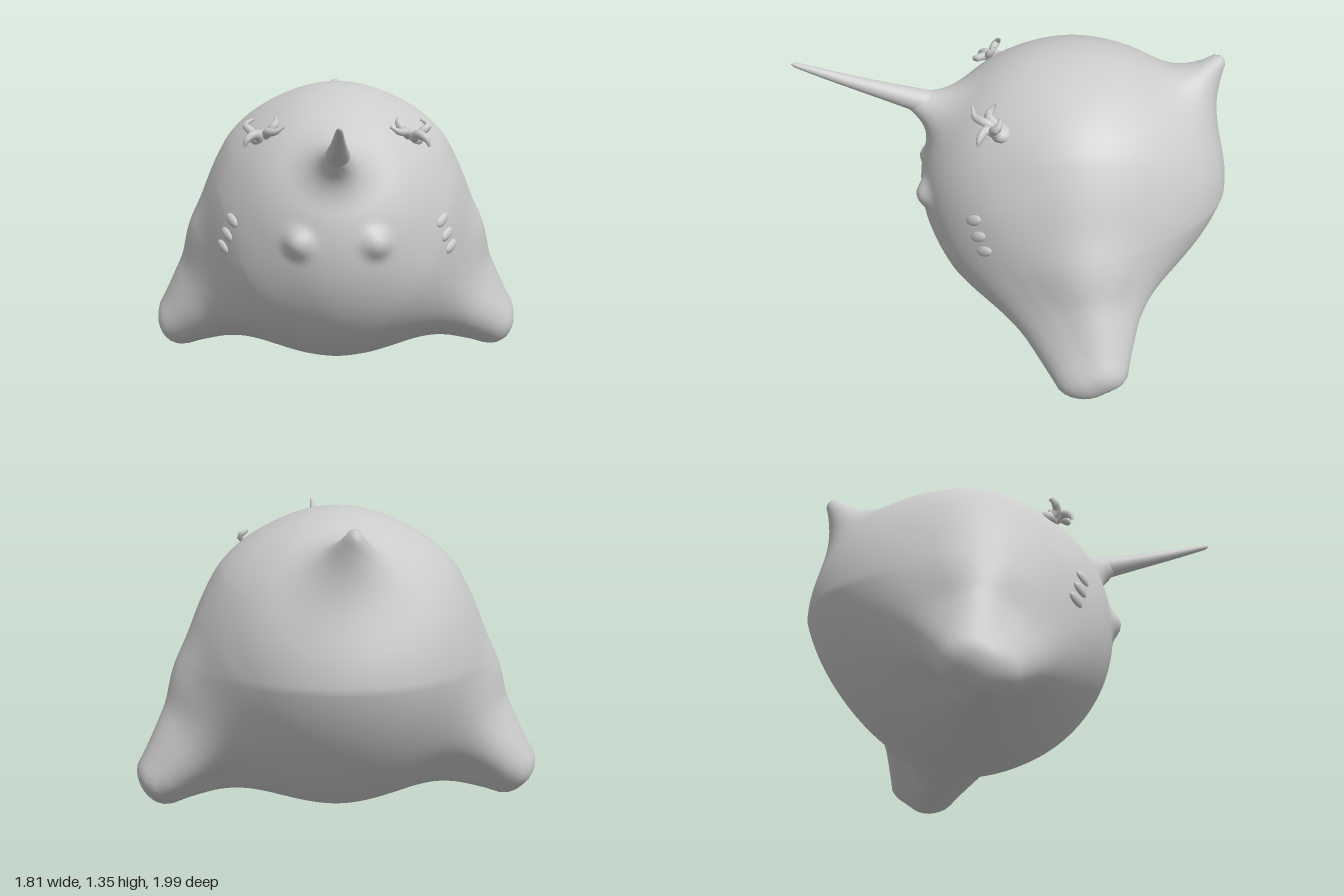
import * as THREE from 'three';
import { mergeVertices } from 'three/addons/utils/BufferGeometryUtils.js';

const V = (x, y, z) => new THREE.Vector3(x, y, z);
const CENTRE = V(0, 0.68, -0.26);
const RADII = V(0.62, 0.677, 0.705);

// Tapered limbs: [start, start radius, end, end radius]
const FIN = [
  [V(0.28, 0.88, -0.28), 0.26, V(0.54, 0.56, -0.3), 0.19], // shoulder
  [V(0.54, 0.56, -0.3), 0.19, V(0.81, 0.21, -0.36), 0.085], // outer edge
  [V(0.34, 0.58, -0.42), 0.22, V(0.79, 0.17, -0.4), 0.085], // rear edge
  [V(0.27, 0.5, -0.02), 0.23, V(0.79, 0.14, -0.24), 0.085], // front edge
  [V(0.3, 0.65, -0.14), 0.26, V(0.8, 0.17, -0.29), 0.09], // web between the edges
  [V(0.3, 0.38, -0.23), 0.25, V(0.77, 0.115, -0.31), 0.085], // lower edge
];
// Smaller swellings: [limb, blend width]
const SWELLINGS = [
  [[V(0, 0.99, -0.68), 0.24, V(0, 1.275, -0.9), 0.042], 0.12], // tail nub
  [[V(0, 0.99, 0.2), 0.12, V(0, 1.1, 0.46), 0.048], 0.14], // horn root
  [[V(0.17, 0.705, 0.36), 0.05, V(0.17, 0.705, 0.41), 0.046], 0.06], // eye bump
];

function limbDistance(p, [a, ra, b, rb]) {
  const ab = b.clone().sub(a);
  const t = THREE.MathUtils.clamp(p.clone().sub(a).dot(ab) / ab.lengthSq(), 0, 1);
  return p.distanceTo(ab.multiplyScalar(t).add(a)) - (ra + (rb - ra) * t);
}

function smoothMin(a, b, k) {
  const h = Math.max(k - Math.abs(a - b), 0) / k;
  return Math.min(a, b) - h * h * k * 0.25;
}

// Signed distance to the body, mirrored across x = 0
function bodyDistance(point) {
  const p = V(Math.abs(point.x), point.y, point.z);
  const fin = FIN.map(limb => limbDistance(p, limb)).reduce((a, b) => smoothMin(a, b, 0.07));
  // Ellipsoid whose back half slopes in towards the belly
  const q = p.clone().sub(CENTRE);
  if (q.z < 0) q.z /= 1.03 - 0.4 * Math.min(Math.max(-q.y, 0), 0.7);
  let d = (q.divide(RADII).length() - 1) * 0.65;
  d = smoothMin(d, fin, 0.2);
  for (const [limb, blend] of SWELLINGS) d = smoothMin(d, limbDistance(p, limb), blend);
  return d;
}

// Point on the body's skin in a given direction from its centre
function skinPoint(dir) {
  let lo = 0.4, hi = 1.4;
  for (let i = 0; i < 16; i++) {
    const mid = (lo + hi) / 2;
    if (bodyDistance(dir.clone().multiplyScalar(mid).add(CENTRE)) < 0) lo = mid;
    else hi = mid;
  }
  return dir.clone().multiplyScalar(lo).add(CENTRE);
}

function smooth(geometry) {
  geometry.deleteAttribute('uv');
  geometry.deleteAttribute('normal');
  const merged = mergeVertices(geometry, 1e-5);
  merged.computeVertexNormals();
  return merged;
}

function bodyGeometry() {
  const g = new THREE.SphereGeometry(1, 192, 128);
  const pos = g.attributes.position;
  for (let i = 0; i < pos.count; i++) {
    const p = skinPoint(new THREE.Vector3().fromBufferAttribute(pos, i).normalize());
    pos.setXYZ(i, p.x, p.y, p.z);
  }
  return smooth(g);
}

// Round tube along points, with its own radius at each one
function taperedTube(points, radii, steps, sides) {
  const curve = new THREE.CatmullRomCurve3(points);
  const g = new THREE.TubeGeometry(curve, steps, 1, sides, false);
  const pos = g.attributes.position;
  const last = radii.length - 1;
  for (let i = 0; i <= steps; i++) {
    const c = curve.getPointAt(i / steps);
    const u = curve.getUtoTmapping(i / steps) * last;
    const k = Math.min(Math.floor(u), last - 1);
    const r = THREE.MathUtils.lerp(radii[k], radii[k + 1], u - k);
    for (let j = 0; j <= sides; j++) {
      const n = i * (sides + 1) + j;
      const p = new THREE.Vector3().fromBufferAttribute(pos, n).sub(c).multiplyScalar(r).add(c);
      pos.setXYZ(n, p.x, p.y, p.z);
    }
  }
  return smooth(g);
}

export function createModel() {
  const model = new THREE.Group();
  const material = new THREE.MeshStandardMaterial({ color: 0xcccccc, side: THREE.DoubleSide });
  const add = (name, geometry, parent = model) => {
    const mesh = new THREE.Mesh(geometry, material);
    mesh.name = name;
    parent.add(mesh);
    return mesh;
  };

  // Round body with fins, tail nub, eye bumps and horn root
  add('body', bodyGeometry());

  // Long forehead horn: [z, y, radius]
  const horn = [
    [0.28, 1.04, 0.06], [0.4, 1.087, 0.058], [0.53, 1.13, 0.046],
    [0.7, 1.185, 0.032], [0.86, 1.24, 0.021], [0.985, 1.285, 0.011], [1.0, 1.29, 0.001],
  ];
  add('horn', taperedTube(horn.map(([z, y]) => V(0, y, z)), horn.map(h => h[2]), 48, 20));

  // Curled branches of each crest
  const branches = [
    [V(0.3, 1.1, 0.06), V(0.32, 1.16, 0.13), V(0.28, 1.17, 0.18), V(0.24, 1.195, 0.19)],
    [V(0.34, 1.1, 0.07), V(0.37, 1.155, 0.13), V(0.41, 1.13, 0.16), V(0.42, 1.1, 0.165)],
    [V(0.36, 1.1, 0.05), V(0.39, 1.16, 0.1), V(0.42, 1.19, 0.08), V(0.385, 1.215, 0.07)],
    [V(0.31, 1.12, 0.07), V(0.295, 1.18, 0.12), V(0.28, 1.2, 0.11), V(0.28, 1.225, 0.09)],
  ];

  for (const [side, s] of [['left', 1], ['right', -1]]) {
    const mirror = p => V(p.x * s, p.y, p.z);

    // Crest
    const crest = new THREE.Group();
    crest.name = side + 'Crest';
    model.add(crest);
    const root = add('crestRoot', new THREE.SphereGeometry(0.055, 16, 12), crest);
    root.position.set(0.34 * s, 1.125, 0.065);
    root.scale.set(1.15, 0.75, 0.9);
    for (const b of branches) {
      add('crestBranch', taperedTube(b.map(mirror), [0.026, 0.021, 0.016, 0.006], 14, 8), crest);
    }

    // Three gill ridges on the cheek
    const gills = new THREE.Group();
    gills.name = side + 'Gills';
    model.add(gills);
    for (const [x, y, z] of [[0.48, 0.765, 0.19], [0.51, 0.695, 0.175], [0.54, 0.63, 0.155]]) {
      const dir = V(x * s, y, z).sub(CENTRE).normalize();
      const gill = add('gill', new THREE.SphereGeometry(1, 16, 10), gills);
      gill.position.copy(skinPoint(dir));
      gill.lookAt(gill.position.clone().add(dir));
      gill.rotateZ(0.5 * s);
      gill.scale.set(0.046, 0.025, 0.016);
    }
  }
  return model;
}
